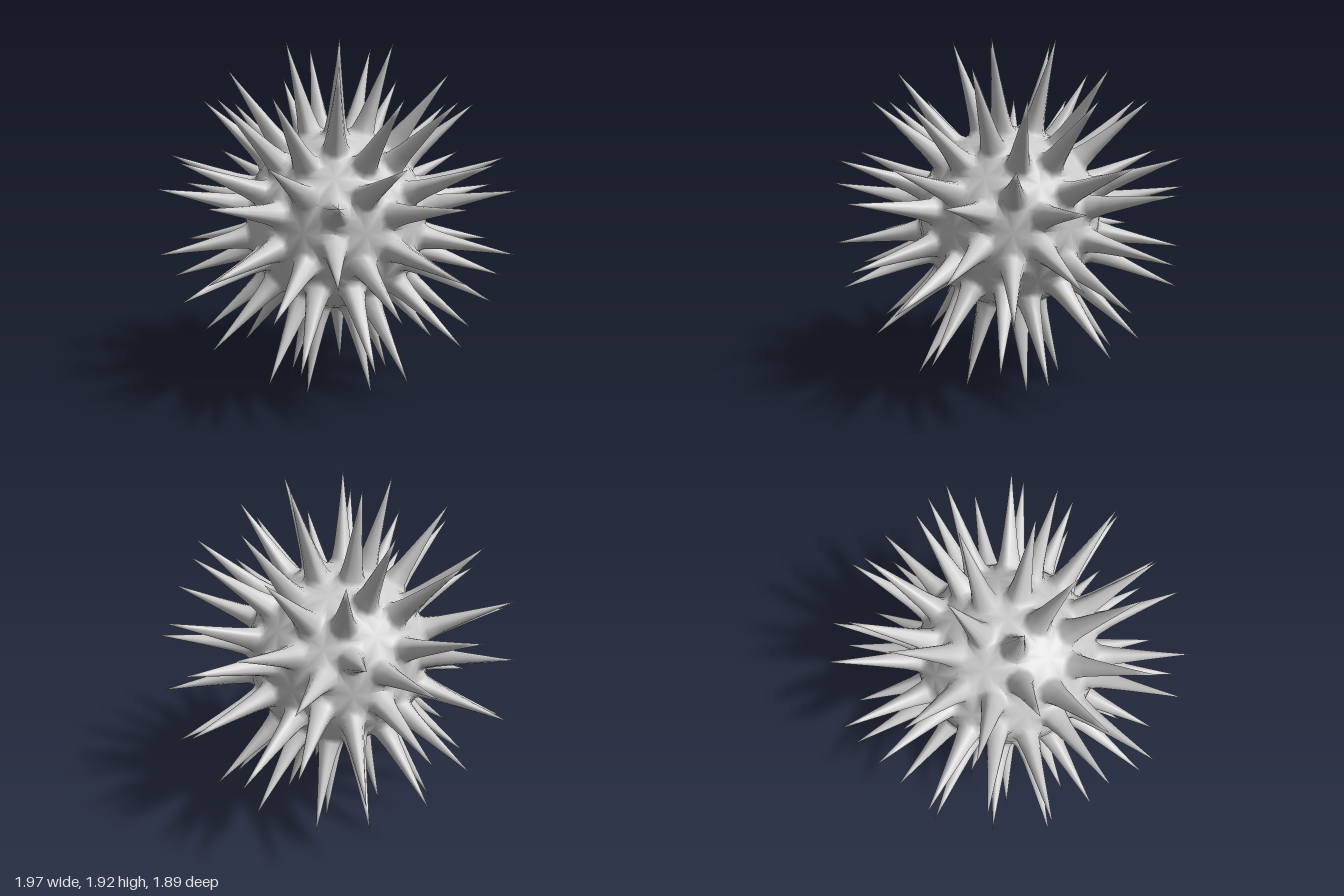
import * as THREE from 'three';
import { mergeVertices } from 'three/addons/utils/BufferGeometryUtils.js';

const CENTRE_Y = 0.97;
const BODY_R = 0.505;
const EDGE_STEPS = 4; // points per triangle edge, so 12 sides per spike
// Spike profile: [distance from centre, spike radius]
const PROFILE = [[0.497, 0.08], [0.522, 0.063], [0.6, 0.047], [0.75, 0.028], [0.88, 0.013], [1, 0]];
// Slight common lean of the spike tips
const LEAN = new THREE.Vector3(0.018, 0.01, -0.014);

// The 20 faces of an icosahedron standing on a corner
function icosahedronFaces() {
  const ring = (k, y, turn) => {
    const a = (k * 72 + turn) * Math.PI / 180, r = Math.sqrt(1 - y * y);
    return new THREE.Vector3(r * Math.cos(a), y, r * Math.sin(a));
  };
  const h = 1 / Math.sqrt(5);
  const up = (k) => ring(k, h, 0), low = (k) => ring(k, -h, 36);
  const top = new THREE.Vector3(0, 1, 0), bottom = new THREE.Vector3(0, -1, 0);
  const faces = [];
  for (let k = 0; k < 5; k++) {
    faces.push([top, up(k), up(k + 1)], [up(k), up(k + 1), low(k)],
      [low(k), low(k + 1), up(k + 1)], [bottom, low(k), low(k + 1)]);
  }
  // Turn every face outward
  return faces.map(([a, b, c]) =>
    a.clone().cross(b).dot(c) > 0 ? [a, b, c] : [a, c, b]);
}

// Each face split into four, on the unit sphere
function split([a, b, c]) {
  const mid = (p, q) => p.clone().add(q).normalize();
  const ab = mid(a, b), bc = mid(b, c), ca = mid(c, a);
  return [[a, ab, ca], [ab, b, bc], [ca, bc, c], [ab, bc, ca]];
}

// Rings of one patch: its border on the body, then up the spike to the tip
function spikeRings(corners) {
  const axis = corners[0].clone().add(corners[1]).add(corners[2]).normalize();
  const lean = LEAN.clone().addScaledVector(axis, -LEAN.dot(axis));
  const border = [];
  corners.forEach((p, i) => {
    for (let s = 0; s < EDGE_STEPS; s++) {
      border.push(p.clone().lerp(corners[(i + 1) % 3], s / EDGE_STEPS).setLength(BODY_R));
    }
  });
  const rings = [border];
  for (const [r, w] of PROFILE) {
    const middle = axis.clone().multiplyScalar(r)
      .addScaledVector(lean, Math.max(0, (r - 0.5) / 0.5));
    rings.push(border.map((p) => {
      const out = p.clone().addScaledVector(axis, -p.dot(axis)).normalize();
      return middle.clone().addScaledVector(out, w);
    }));
  }
  return rings;
}

export function createModel() {
  const positions = [];
  const tri = (...pts) => pts.forEach((p) => positions.push(p.x, p.y, p.z));

  // One spike on each of the 80 patches, joined to its neighbours at the border
  for (const corners of icosahedronFaces().flatMap(split)) {
    const rings = spikeRings(corners);
    const n = rings[0].length;
    for (let j = 0; j < rings.length - 1; j++) {
      const lower = rings[j], upper = rings[j + 1];
      for (let i = 0; i < n; i++) {
        const k = (i + 1) % n;
        tri(lower[i], lower[k], upper[i]);
        if (j < rings.length - 2) tri(lower[k], upper[k], upper[i]);
      }
    }
  }

  let geometry = new THREE.BufferGeometry();
  geometry.setAttribute('position', new THREE.Float32BufferAttribute(positions, 3));
  geometry = mergeVertices(geometry, 1e-4);
  geometry.computeVertexNormals();

  const body = new THREE.Mesh(geometry, new THREE.MeshStandardMaterial({ color: 0xcccccc }));
  body.name = 'spikyBall';
  body.position.y = CENTRE_Y;

  const group = new THREE.Group();
  group.name = 'spikyBallModel';
  group.add(body);
  return group;
}
